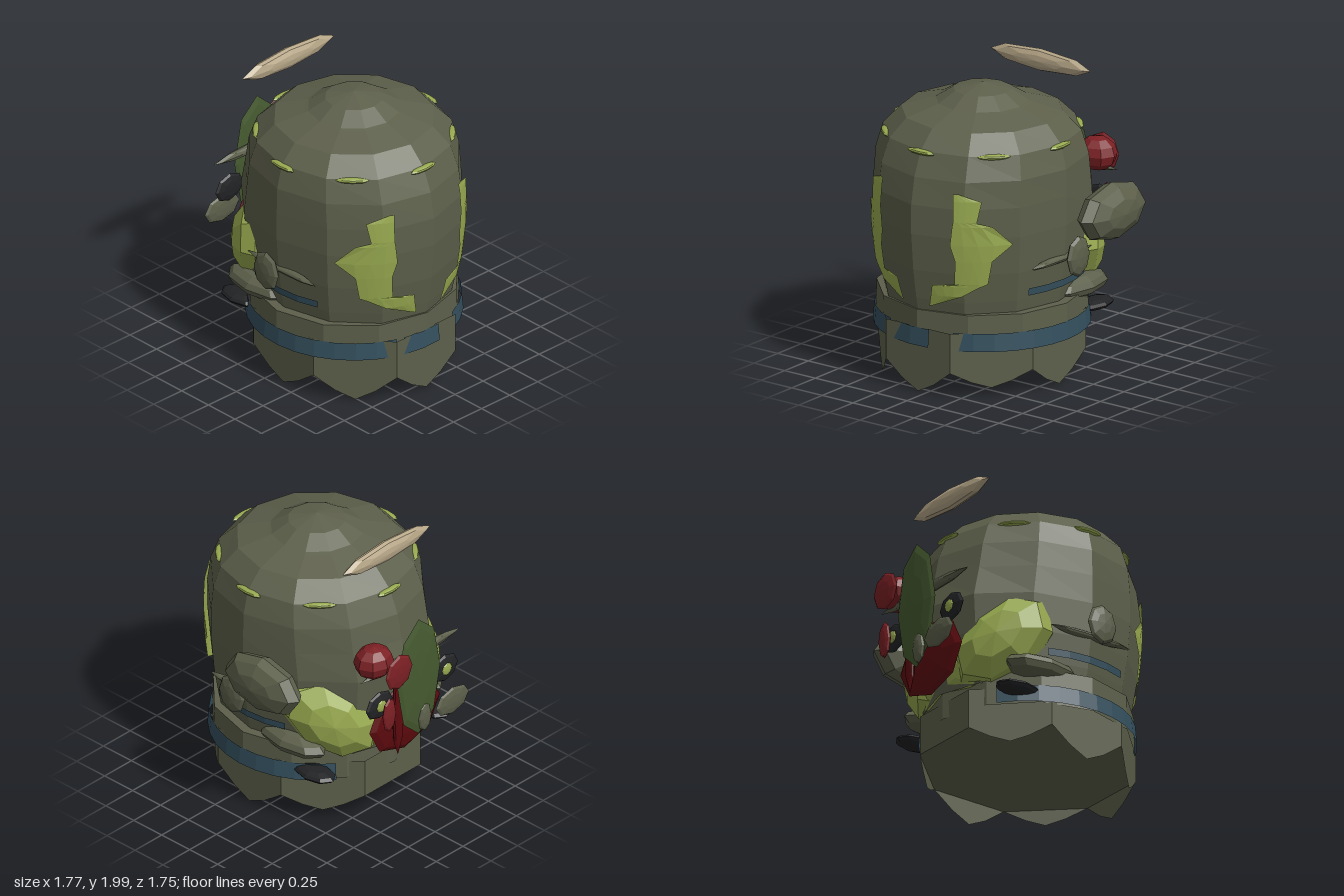
import * as THREE from 'three';

const CX = -0.065, CZ = 0.12; // body axis

const mat = (name, color, side = THREE.FrontSide) =>
  Object.assign(new THREE.MeshStandardMaterial({ color, side, flatShading: true }), { name });

// Body outline: radius, height
const PROFILE = [
  [0.61, 0.5], [0.64, 0.65], [0.67, 0.85], [0.69, 1.1], [0.69, 1.3], [0.685, 1.48], [0.645, 1.64],
  [0.53, 1.76], [0.33, 1.82], [0.305, 1.828], [0.19, 1.9], [0, 1.94],
];

function bodyRadius(y) {
  for (let i = 1; i < PROFILE.length; i++) {
    const [r0, y0] = PROFILE[i - 1], [r1, y1] = PROFILE[i];
    if (y <= y1) return r0 + (r1 - r0) * (y - y0) / (y1 - y0);
  }
  return 0;
}

// Front-to-back stretch: round crown, deeper middle, fuller back
function depth(y, back) {
  const t = THREE.MathUtils.clamp((1.7 - y) / 0.4, 0, 1);
  const full = back ? 1.1 + 0.07 * THREE.MathUtils.clamp((1.3 - y) / 0.2, 0, 1) : 1.09;
  return 1 + (full - 1) * t;
}

export function createModel() {
  const olive = mat('olive', 0x5d604b, THREE.DoubleSide);
  const lime = mat('lime', 0x98aa50, THREE.DoubleSide);
  const blue = mat('slate blue', 0x34505e, THREE.DoubleSide);
  const red = mat('red', 0x7c2024);
  const darkRed = mat('dark red', 0x5e0a0e);
  const black = mat('black', 0x222325);
  const green = mat('leaf green', 0x465a30);
  const tan = mat('tan', 0xb7a788);

  const model = new THREE.Group();
  const add = (name, geometry, material, x = CX, y = 0, z = CZ) => {
    const mesh = new THREE.Mesh(geometry, material);
    mesh.name = name;
    mesh.position.set(x, y, z);
    model.add(mesh);
    return mesh;
  };
  // Faceted ellipsoid given by its centre and half sizes, its poles on the thinnest axis
  const blob = (name, material, [x, y, z], [a, b, c]) => {
    const g = new THREE.SphereGeometry(1, 8, 6);
    if (a < b && a < c) g.rotateZ(Math.PI / 2);
    else if (c < b) g.rotateX(Math.PI / 2);
    const mesh = add(name, g, material, x, y, z);
    mesh.scale.set(a, b, c);
    return mesh;
  };
  const both = (fn) => [1, -1].forEach(fn);

  // Domed body
  const body = new THREE.LatheGeometry(PROFILE.map(([r, y]) => new THREE.Vector2(r, y)), 12);
  const bp = body.attributes.position;
  for (let i = 0; i < bp.count; i++)
    bp.setZ(i, bp.getZ(i) * depth(bp.getY(i), bp.getZ(i) < 0));
  add('body', body, olive);

  // Flared waistband and its broken blue stripe
  add('waistband', new THREE.CylinderGeometry(0.69, 0.695, 0.24, 12, 1, true), olive, CX, 0.45);
  add('waistbandTop', new THREE.RingGeometry(0.55, 0.69, 12).rotateX(-Math.PI / 2), olive, CX, 0.57);
  const arc = (name, r0, r1, y, h, from, to) => add(name, new THREE.CylinderGeometry(
    r0, r1, h, Math.ceil((to - from) / 12), 1, true,
    THREE.MathUtils.degToRad(from), THREE.MathUtils.degToRad(to - from)), blue, CX, y);
  for (const [from, to] of [[-144, -20], [-16, 8], [22, 144]])
    arc('waistStripe', 0.697, 0.708, 0.39, 0.12, from, to);
  for (const mid of [90, -90])
    arc('sideStripe', 0.665, 0.66, 0.705, 0.05, mid - 24, mid + 24).scale.z = 1.09;

  // Octagonal skirt: flat pointed tabs hanging below a closed underside
  const skirt = new THREE.CylinderGeometry(1, 1, 1, 32, 1, true);
  const p = skirt.attributes.position;
  for (let i = 0; i < p.count; i++) {
    const x = p.getX(i), z = p.getZ(i), top = p.getY(i) > 0;
    const turn = Math.atan2(x, z) / (Math.PI / 4), side = Math.round(turn);
    const t = Math.abs(turn - side) * 2;
    const low = Math.abs(side) === 4 ? 0.18 : side % 2 === 0 || side === -1 ? 0.01 : 0.07;
    const r = 1 / Math.cos(t * Math.PI / 8);
    p.setXYZ(i, x * r * 0.63, top ? 0.45 : low + (0.18 - low) * Math.pow(t, 1.4), z * r * 0.68);
  }
  add('skirt', skirt, olive);
  const base = new THREE.CircleGeometry(1 / Math.cos(Math.PI / 8), 8, Math.PI / 8).rotateX(Math.PI / 2);
  add('skirtBase', base, olive, CX, 0.18).scale.set(0.63, 1, 0.68);

  // Front markings wrapped on the body: height, inner edge, outer edge
  const ROWS = [
    [1.41, 0.285, 0.32], [1.36, 0.29, 0.445], [1.22, 0.295, 0.425], [1.19, 0.29, 0.5],
    [1.06, 0.275, 0.58], [0.95, 0.3, 0.49], [0.79, 0.285, 0.46], [0.77, 0.14, 0.42],
    [0.7, 0.125, 0.315], [0.62, 0.105, 0.12],
  ];
  both((s) => {
    const N = 4, verts = [], index = [];
    ROWS.forEach(([y, a, b], row) => {
      for (let k = 0; k <= N; k++) {
        const x = a + (b - a) * k / N, r = bodyRadius(y) + 0.012;
        verts.push(s * x, y, depth(y, false) * Math.sqrt(r * r - x * x));
        if (row && k) {
          const d = row * (N + 1) + k, u = d - N - 1;
          if (s > 0) index.push(u - 1, d - 1, d, u - 1, d, u);
          else index.push(u - 1, d, d - 1, u - 1, u, d);
        }
      }
    });
    const g = new THREE.BufferGeometry();
    g.setAttribute('position', new THREE.Float32BufferAttribute(verts, 3));
    g.setIndex(index);
    g.computeVertexNormals();
    add('frontMarking', g, lime);
  });

  // Ring of thin spots under the crown
  for (let i = 0; i < 8; i++) {
    const a = i * Math.PI / 4, r = i % 2 ? 0.625 : 0.64;
    blob('crownSpot', lime, [CX + r * Math.sin(a), 1.633, CZ + r * Math.cos(a) * 1.015],
      [0.11, 0.018, 0.03]).rotation.y = a;
  }

  // Lime muzzle on the back
  blob('muzzle', lime, [CX, 0.66, -0.42], [0.42, 0.25, 0.19]);
  both((s) => {
    blob('muzzleLobe', lime, [CX + s * 0.37, 0.79, -0.36], [0.39, 0.27, 0.2])
      .rotation.set(0, -s * 0.68, s * 0.75);
  });

  // Paired parts
  both((s) => {
    const x = (d) => CX + s * d;
    blob('eye', black, [x(0.305), 0.98, -0.73], [0.125, 0.1, 0.025]);
    blob('pupil', lime, [x(0.305), 0.98, -0.753], [0.045, 0.045, 0.012]);
    blob('arm', olive, [x(0.545), 0.59, -0.19], [0.13, 0.08, 0.28]);
    blob('claw', black, [x(0.535), 0.41, -0.375], [0.1, 0.037, 0.165]);
    blob('ear', olive, [x(0.787), 0.91, 0.125], [0.035, 0.14, 0.115]);
    blob('sideRidge', olive, [x(0.655), 0.875, 0.13], [0.035, 0.025, 0.32]);
  });

  // Brow, mouth, tongue and the plates in front of them
  blob('brow', olive, [CX, 1.21, -0.715], [0.465, 0.04, 0.033]);
  blob('mouth', darkRed, [CX, 0.74, -0.665], [0.33, 0.26, 0.045]);
  blob('tongue', darkRed, [0.07, 0.86, -0.735], [0.05, 0.34, 0.025]);
  blob('leaf', green, [-0.07, 1.08, -0.787], [0.2, 0.44, 0.025]);
  blob('cheekPlate', olive, [-0.35, 0.78, -0.82], [0.155, 0.1, 0.022]);
  blob('leafStem', olive, [-0.11, 0.76, -0.8], [0.06, 0.11, 0.025]);
  blob('redBall', red, [0.25, 1.305, -0.69], [0.14, 0.115, 0.125]);
  blob('redDisc', red, [0.18, 1.26, -0.85], [0.125, 0.13, 0.023]);
  blob('redDrop', red, [0.235, 0.94, -0.815], [0.06, 0.13, 0.022]);

  // Floating pieces
  blob('halo', tan, [CX, 1.925, -0.5], [0.41, 0.075, 0.045]);
  blob('sidePod', olive, [0.755, 1.145, -0.185], [0.125, 0.195, 0.325]);
  return model;
}
